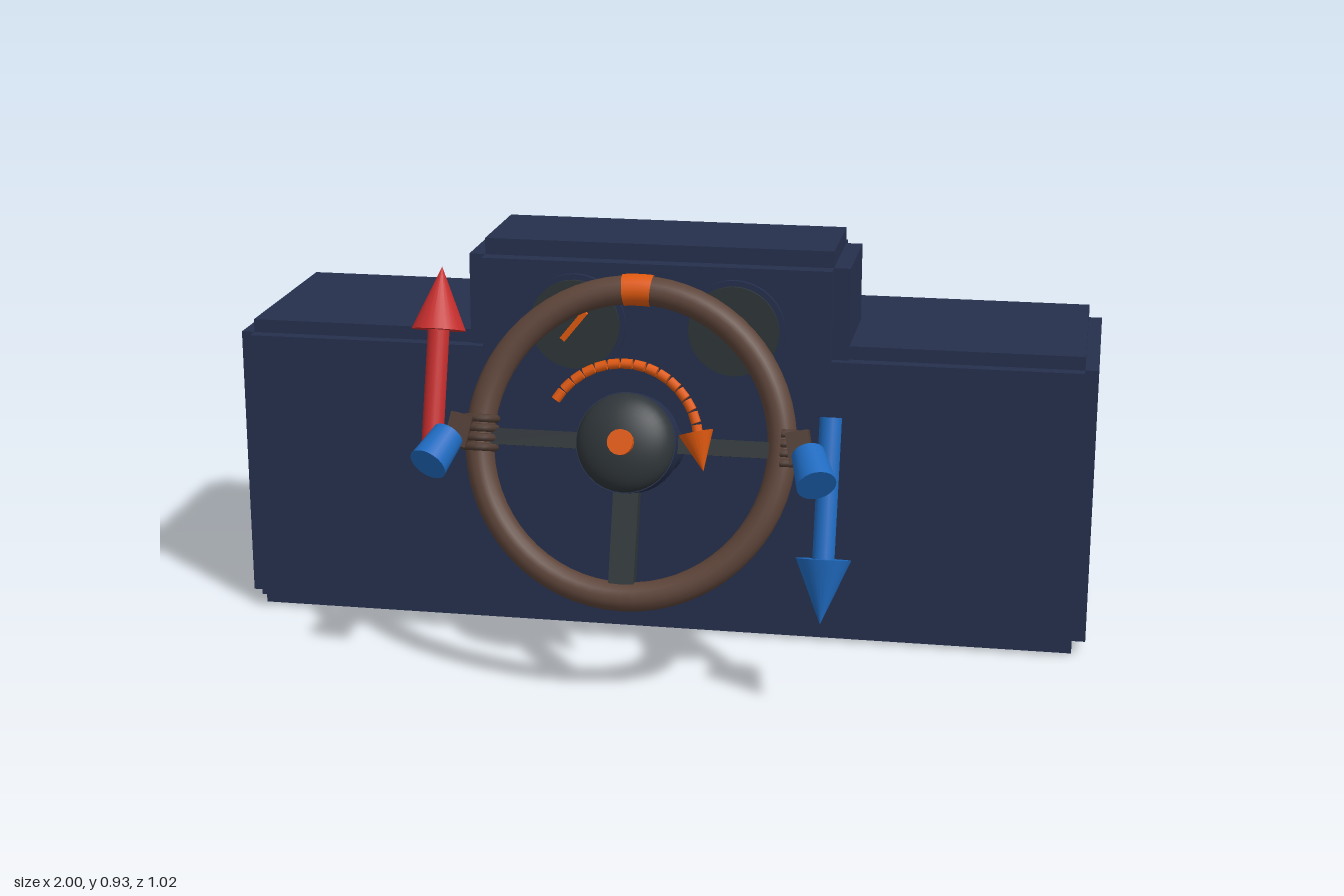
import * as THREE from 'three';

const mat = (name, color) => {
  const m = new THREE.MeshStandardMaterial({ color });
  m.name = name;
  return m;
};

export function createModel() {
  const navy = mat('navy', 0x25304d);
  const charcoal = mat('charcoal', 0x2f3539);
  const brown = mat('rim brown', 0x5d4439);
  const skin = mat('dark brown', 0x4f3b32);
  const orange = mat('orange', 0xe0590f);
  const red = mat('red', 0xc42d2d);
  const blue = mat('blue', 0x1f6abf);

  const model = new THREE.Group();
  model.name = 'steeringDemo';

  const add = (parent, name, geo, material, x = 0, y = 0, z = 0) => {
    const mesh = new THREE.Mesh(geo, material);
    mesh.name = name;
    mesh.position.set(x, y, z);
    parent.add(mesh);
    return mesh;
  };
  const up = new THREE.Vector3(0, 1, 0);
  const aim = (mesh, x, y, z) =>
    mesh.quaternion.setFromUnitVectors(up, new THREE.Vector3(x, y, z).normalize());
  const group = (parent, name) => {
    const g = new THREE.Group();
    g.name = name;
    parent.add(g);
    return g;
  };

  // Block with stepped edges: three crossed boxes, each full size on one axis
  const steppedBlock = (name, w, h, d, inset, y, z) => {
    const g = group(model, name);
    const s = 2 * inset;
    add(g, name + 'Wide', new THREE.BoxGeometry(w, h - s, d - s), navy, 0, y, z);
    add(g, name + 'Tall', new THREE.BoxGeometry(w - s, h, d - s), navy, 0, y, z);
    add(g, name + 'Deep', new THREE.BoxGeometry(w - s, h - s, d), navy, 0, y, z);
  };
  steppedBlock('dashboard', 2, 0.71, 0.55, 0.031, 0.355, -0.235);
  steppedBlock('instrumentHood', 0.88, 0.34, 0.336, 0.038, 0.76, -0.112);

  // Gauges with needles
  for (const side of [-1, 1]) {
    const g = group(model, side < 0 ? 'rightGauge' : 'leftGauge');
    g.position.set(side * 0.183, 0.748, 0);
    const bezel = add(g, 'gaugeBezel', new THREE.CylinderGeometry(0.117, 0.117, 0.02, 32), navy, 0, 0, 0.055);
    const face = add(g, 'gaugeFace', new THREE.CylinderGeometry(0.104, 0.104, 0.008, 32), charcoal, 0, 0, 0.068);
    bezel.rotation.x = face.rotation.x = Math.PI / 2;
    const needle = add(g, 'gaugeNeedle', new THREE.BoxGeometry(0.014, 0.085, 0.014), orange, 0, 0, 0.078);
    needle.rotation.z = side < 0 ? -0.68 : 0.6;
  }

  // Everything on the tilted steering axis
  const wheel = group(model, 'steeringAssembly');
  wheel.position.set(0, 0.565, 0.365);
  wheel.rotation.x = -Math.PI / 10;

  const R = 0.335;
  const column = add(wheel, 'steeringColumn', new THREE.CylinderGeometry(0.067, 0.067, 0.42, 32), navy, 0, 0, -0.21);
  column.rotation.x = Math.PI / 2;
  add(wheel, 'wheelRim', new THREE.TorusGeometry(R, 0.032, 16, 64), brown);
  const band = add(wheel, 'rimMarker', new THREE.TorusGeometry(R, 0.035, 16, 8, 0.19), orange);
  band.rotation.z = Math.PI / 2 - 0.095;

  // Hub and spokes
  const hub = add(wheel, 'hub', new THREE.CylinderGeometry(0.11, 0.11, 0.07, 32), navy, 0, 0, 0.015);
  hub.rotation.x = Math.PI / 2;
  const dome = add(wheel, 'hubDome',
    new THREE.SphereGeometry(0.108, 32, 12, 0, Math.PI * 2, 0, Math.PI / 2), charcoal, 0, 0, 0.05);
  dome.rotation.x = Math.PI / 2;
  dome.scale.y = 0.5;
  const button = add(wheel, 'hubButton', new THREE.CylinderGeometry(0.028, 0.028, 0.026, 16), orange, 0, 0, 0.108);
  button.rotation.x = Math.PI / 2;
  for (const side of [-1, 1]) {
    add(wheel, 'sideSpoke', new THREE.BoxGeometry(0.24, 0.036, 0.032), charcoal, side * 0.21, 0, 0);
  }
  add(wheel, 'lowerSpoke', new THREE.BoxGeometry(0.056, 0.24, 0.032), charcoal, 0, -0.21, 0);

  // Curved arrow of short dashes
  const turn = group(wheel, 'turnArrow');
  turn.position.z = 0.11;
  const count = 15, r = 0.168;
  for (let i = 0; i < count; i++) {
    const a = 2.55 - (i / (count - 1)) * 2.35;
    const dash = add(turn, 'arrowDash', new THREE.CylinderGeometry(0.011, 0.011, 0.024, 8), orange,
      r * Math.cos(a), r * Math.sin(a), 0);
    dash.rotation.z = a;
  }
  const turnHead = add(turn, 'turnArrowHead', new THREE.ConeGeometry(0.038, 0.085, 20), orange, 0.172, -0.012, 0);
  aim(turnHead, 0.25, -1, 0);

  // Hands, cuffs and straight arrows on both sides
  for (const side of [-1, 1]) {
    const hand = group(wheel, side < 0 ? 'rightHand' : 'leftHand');
    const palm = add(hand, 'palm', new THREE.BoxGeometry(0.05, 0.07, 0.04), skin, side * 0.375, 0.01, 0.025);
    palm.rotation.z = side * 0.2;
    for (let i = 0; i < 4; i++) {
      const finger = add(hand, 'finger', new THREE.TorusGeometry(0.034, 0.009, 8, 16, Math.PI * 1.5),
        skin, side * R, -0.025 + i * 0.021, 0);
      finger.rotation.set(Math.PI / 2, 0, side > 0 ? -Math.PI : -Math.PI / 2);
    }

    // Cuff is aimed in model space
    const cuff = add(model, 'sleeveCuff', new THREE.CylinderGeometry(0.043, 0.036, 0.09, 24), blue,
      side * 0.41, 0.552, 0.445);
    aim(cuff, side * 0.3, -0.5, 0.8);

    const arrow = group(wheel, side < 0 ? 'pushArrow' : 'pullArrow');
    arrow.position.set(side * 0.438, 0, 0.016);
    if (side > 0) arrow.rotation.z = Math.PI;
    const colour = side < 0 ? red : blue;
    add(arrow, 'arrowShaft', new THREE.CylinderGeometry(0.024, 0.024, 0.31, 20), colour, 0, 0.078, 0);
    add(arrow, 'arrowHead', new THREE.ConeGeometry(0.06, 0.14, 24), colour, 0, 0.297, 0);
  }

  return model;
}
